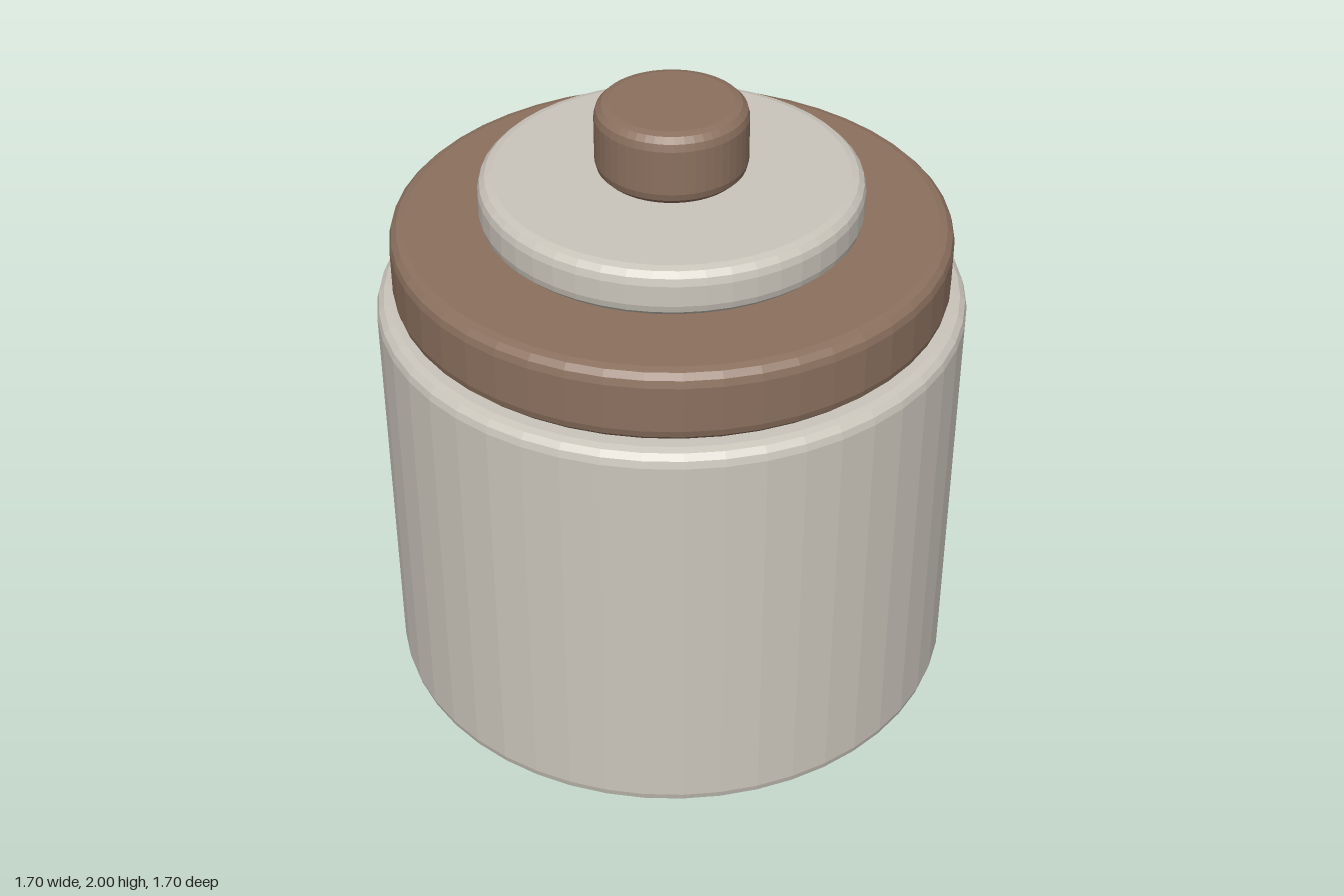
import * as THREE from 'three';

const SIDES = 48;

// Faceted disc with rounded rims, from height y0 to y1
function roundedDisc(name, radius, y0, y1, bevel, material) {
  const profile = [new THREE.Vector2(0, y0)];
  const steps = 3;
  for (const [cy, start] of [[y0 + bevel, -Math.PI / 2], [y1 - bevel, 0]]) {
    for (let i = 0; i <= steps; i++) {
      const a = start + (i / steps) * Math.PI / 2;
      profile.push(new THREE.Vector2(radius - bevel + bevel * Math.cos(a), cy + bevel * Math.sin(a)));
    }
  }
  profile.push(new THREE.Vector2(0, y1));
  const geometry = new THREE.LatheGeometry(profile, SIDES).toNonIndexed();
  geometry.computeVertexNormals(); // flat facets
  const mesh = new THREE.Mesh(geometry, material);
  mesh.name = name;
  return mesh;
}

export function createModel() {
  const stone = new THREE.MeshStandardMaterial({ color: 0xcac5bb });
  stone.name = 'warm grey';
  const wood = new THREE.MeshStandardMaterial({ color: 0x8b705e });
  wood.name = 'brown';

  const model = new THREE.Group();
  model.name = 'lidded jar';
  model.add(
    roundedDisc('foot', 0.63, 0, 0.15, 0.042, stone),
    roundedDisc('body', 0.85, 0.15, 1.42, 0.042, stone),
    roundedDisc('lid', 0.8, 1.42, 1.64, 0.042, wood),
    roundedDisc('lidPlate', 0.545, 1.64, 1.785, 0.042, stone),
    roundedDisc('knob', 0.216, 1.785, 2, 0.042, wood),
  );
  return model;
}
